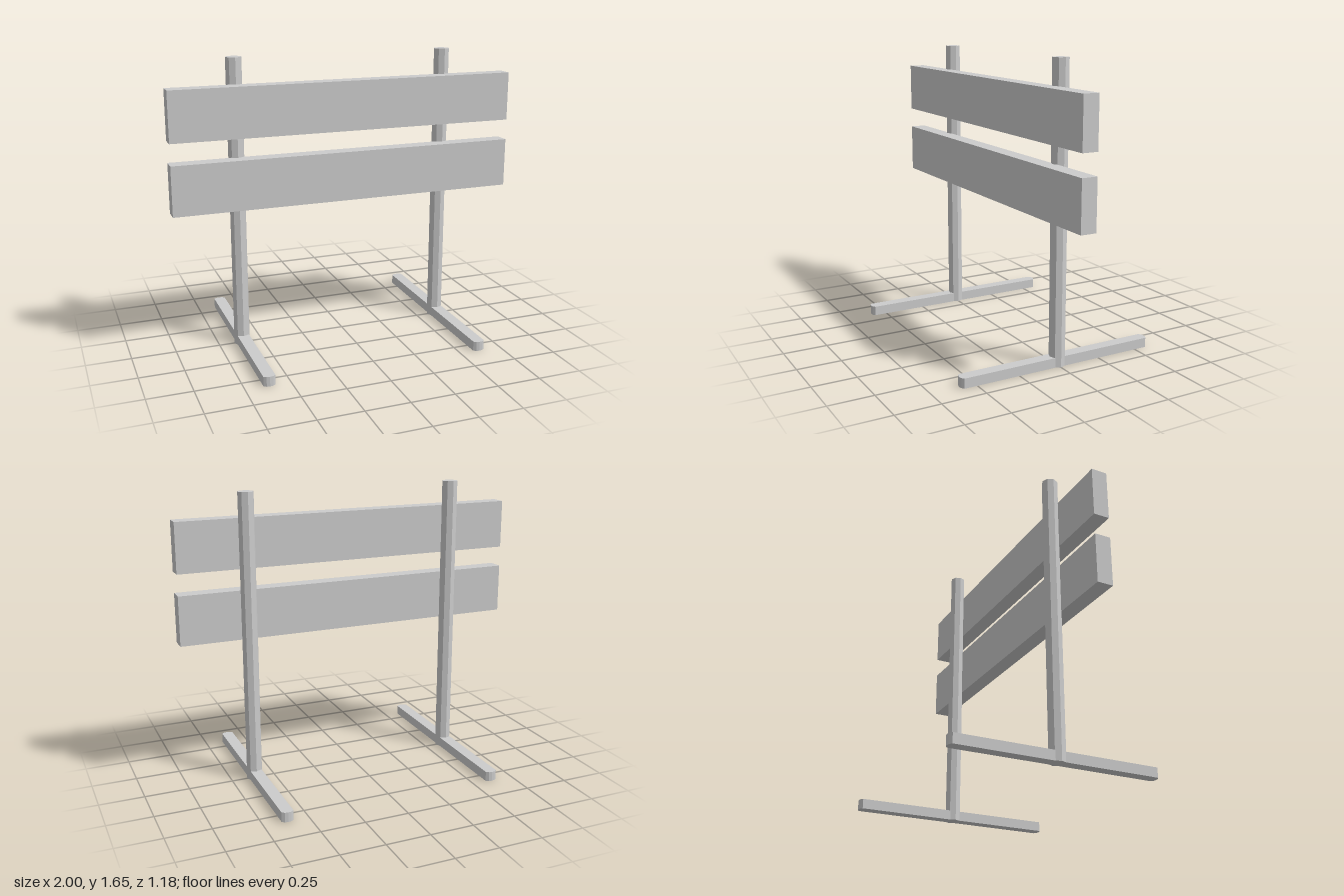
import * as THREE from 'three';

export function createModel() {
  const model = new THREE.Group();
  const material = new THREE.MeshStandardMaterial({ color: 0xcccccc, flatShading: true });

  const addPart = (name, geometry, x, y, z) => {
    const mesh = new THREE.Mesh(geometry, material);
    mesh.name = name;
    mesh.position.set(x, y, z);
    model.add(mesh);
  };

  // Foot bar outline seen from above, with blunt rounded ends
  const halfEnd = [[0.033, 0.574], [0.018, 0.585], [0, 0.588], [-0.018, 0.585], [-0.033, 0.574]];
  const outline = [...halfEnd, ...halfEnd.map(([x, z]) => [-x, -z])];
  const footShape = new THREE.Shape(outline.map(([x, z]) => new THREE.Vector2(x, z)));
  const footGeometry = new THREE.ExtrudeGeometry(footShape, { depth: 0.055, bevelEnabled: false });
  footGeometry.rotateX(-Math.PI / 2);

  // Octagonal post
  const postHeight = 1.65;
  const postGeometry = new THREE.CylinderGeometry(0.045, 0.045, postHeight, 8);

  for (const [side, x] of [['left', 0.617], ['right', -0.617]]) {
    addPart(side + 'Post', postGeometry, x, postHeight / 2, 0);
    addPart(side + 'Foot', footGeometry, x, 0, 0);
  }

  // Two horizontal boards on the front of the posts
  const boardGeometry = new THREE.BoxGeometry(2, 0.28, 0.09);
  addPart('lowerBoard', boardGeometry, 0, 0.967, 0.075);
  addPart('upperBoard', boardGeometry, 0, 1.366, 0.075);

  return model;
}
